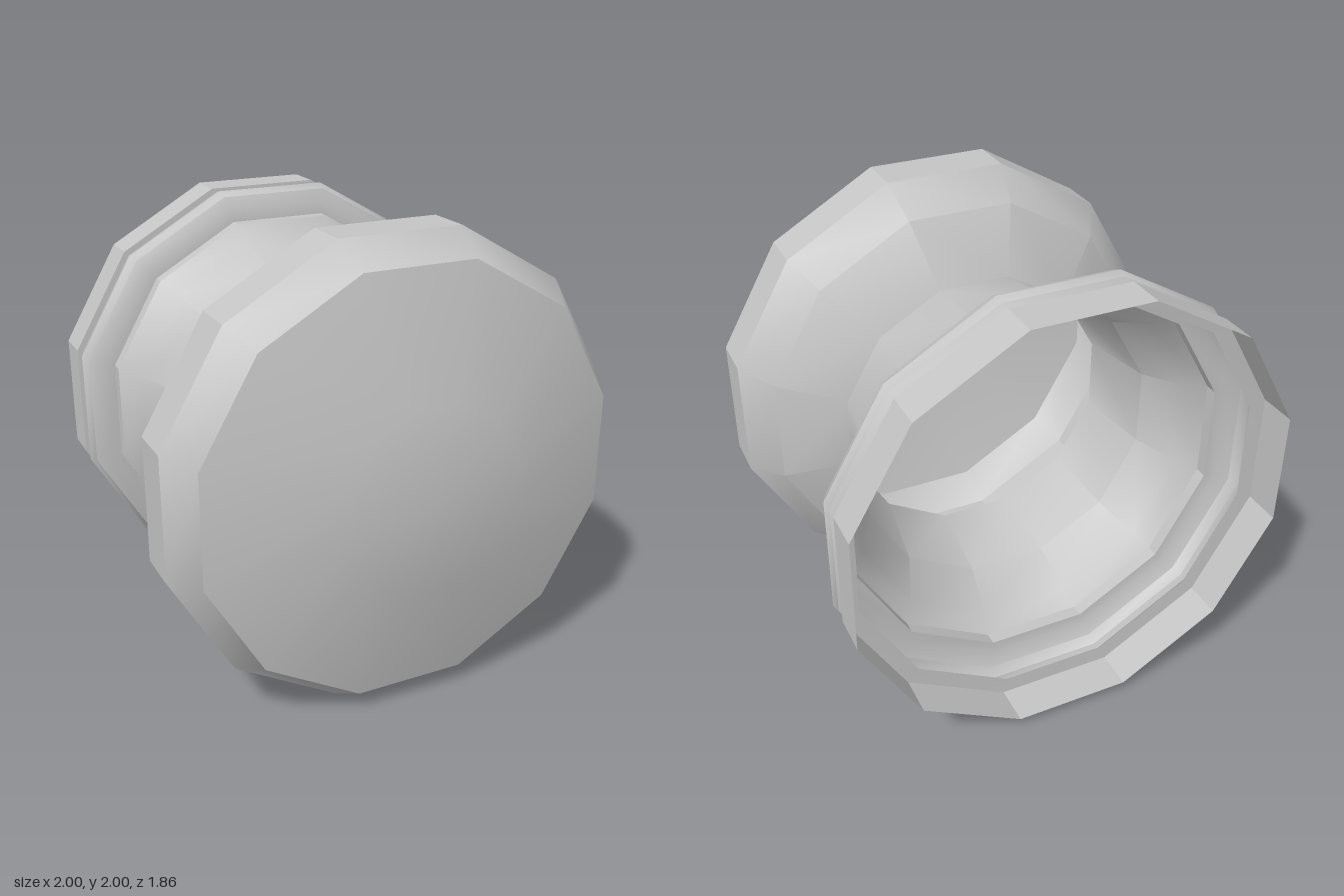
import * as THREE from 'three';
import { toCreasedNormals } from 'three/addons/utils/BufferGeometryUtils.js';

const SIDES = 12;
const HALF_STEP = Math.PI / SIDES;

// Profiles run from back to front as [distance from axis to flat side, z].
const PARTS = {
  backBand: [[0.95, -0.93], [0.95, -0.76]],
  moulding: [[0.95, -0.76], [0.88, -0.755], [0.945, -0.7], [0.955, -0.66],
    [0.935, -0.615], [0.88, -0.585], [0.825, -0.58]],
  collar: [[0.825, -0.58], [0.825, -0.525]],
  neck: [[0.825, -0.525], [0.755, -0.45], [0.66, -0.26], [0.605, 0.095]],
  knobHead: [[0.605, 0.095], [0.883, 0.232], [1, 0.395], [1, 0.597],
    [0.905, 0.757], [0.395, 0.897], [0, 0.93]],
};

// Twelve-sided shell around the z axis with flat sides up, down, left and right.
function shell(profile) {
  const points = profile.map(([r, z]) => new THREE.Vector2(r / Math.cos(HALF_STEP), z));
  const geometry = new THREE.LatheGeometry(points, SIDES, HALF_STEP);
  geometry.rotateX(Math.PI / 2);
  return toCreasedNormals(geometry, THREE.MathUtils.degToRad(29.8));
}

export function createModel() {
  const model = new THREE.Group();
  model.name = 'doorKnob';
  const grey = new THREE.MeshStandardMaterial({ color: 0xc4c4c4, side: THREE.DoubleSide });
  grey.name = 'plain grey';

  for (const [name, profile] of Object.entries(PARTS)) {
    const mesh = new THREE.Mesh(shell(profile), grey);
    mesh.name = name;
    mesh.position.y = 1;
    model.add(mesh);
  }
  return model;
}
